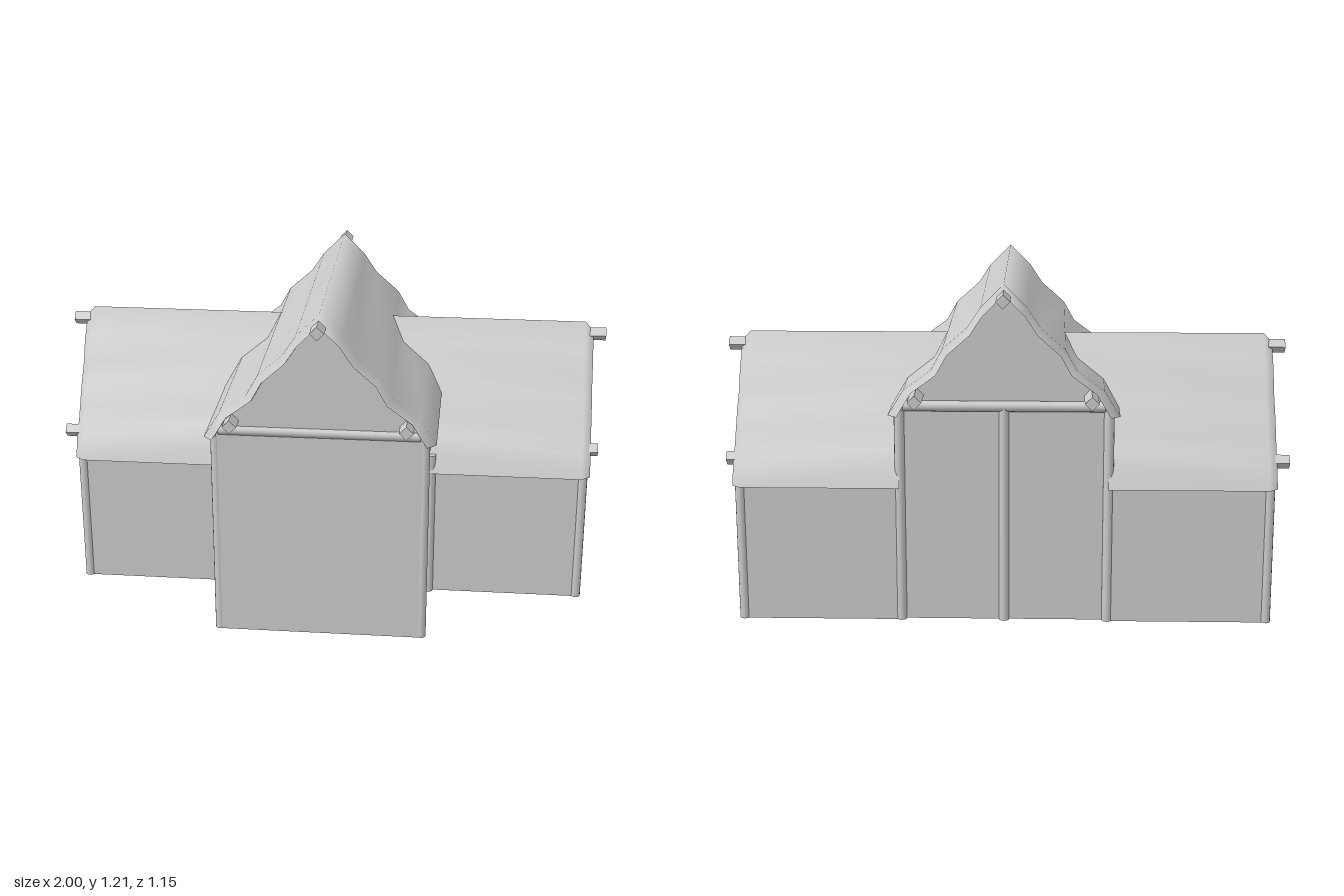
import * as THREE from 'three';

const material = new THREE.MeshStandardMaterial({ color: 0xcccccc });
const thin = new THREE.MeshStandardMaterial({ color: 0xcccccc, side: THREE.DoubleSide });

// half profiles from ridge to eave: [offset, height]
const MAIN = [[0, 1.21], [0.08, 1.13], [0.126, 1.06], [0.212, 0.984], [0.253, 0.91], [0.348, 0.84], [0.403, 0.75]];
const WING = [[0, 0.987], [0.075, 0.9], [0.121, 0.81], [0.172, 0.747], [0.22, 0.67], [0.25, 0.62], [0.292, 0.572], [0.326, 0.492]];

// rim of a roof end, pulled in at the ridge and the eaves
const inset = (p) => p.map(([u, y], i) => [u * 0.92, y - 0.033 * (1 - i / (p.length - 1))]);
// whole profile, from the +x eave over the ridge to the -x eave
const mirror = (p) => [...p.slice().reverse(), ...p.slice(1).map(([u, y]) => [-u, y])];

function mesh(name, geometry, parent, mat = material) {
  const m = new THREE.Mesh(geometry, mat);
  m.name = name;
  parent.add(m);
  return m;
}

// smooth sheet through rows of points; diagonals mirror at the ridge
function sheet(name, rows, parent) {
  const n = rows[0].length;
  const index = [];
  for (let r = 0; r < rows.length - 1; r++) {
    for (let i = 0; i < n - 1; i++) {
      const a = r * n + i, b = a + n;
      if (i < (n - 1) / 2) index.push(a, a + 1, b, b, a + 1, b + 1);
      else index.push(a, a + 1, b + 1, a, b + 1, b);
    }
  }
  const g = new THREE.BufferGeometry();
  g.setAttribute('position', new THREE.Float32BufferAttribute(rows.flat(2), 3));
  g.setIndex(index);
  g.computeVertexNormals();
  mesh(name, g, parent, thin);
}

// row of roof points at the end given by height
const row = (p, end) => mirror(p).map(([u, y]) => [u, y, end(y)]);

// gable wall, reaching up to the roof
function gable(name, profile, half, z, parent) {
  const top = mirror(inset(profile)).map(([u, y]) => [Math.max(-half, Math.min(half, u)), y - 0.004]);
  const pts = [[-half, 0], [half, 0], ...top].map(([x, y]) => new THREE.Vector2(x, y));
  mesh(name, new THREE.ShapeGeometry(new THREE.Shape(pts)), parent, thin).position.z = z;
}

// pair of side walls along z, open below
function sideWalls(name, half, h, z0, z1, parent) {
  for (const s of [1, -1]) {
    const g = new THREE.PlaneGeometry(z1 - z0, h).rotateY(s * Math.PI / 2);
    mesh(name, g, parent, thin).position.set(s * half, h / 2, (z0 + z1) / 2);
  }
}

// round upright timber
function post(name, x, z, h, parent) {
  mesh(name, new THREE.CylinderGeometry(0.018, 0.018, h, 12), parent).position.set(x, h / 2, z);
}

// round timber lying across a gable
function tieBeam(name, y, z, length, parent) {
  const g = new THREE.CylinderGeometry(0.019, 0.019, length, 12).rotateZ(Math.PI / 2);
  mesh(name, g, parent).position.set(0, y, z);
}

// square timber set on its corner, running along z
function purlin(name, x, y, z0, z1, parent) {
  const g = new THREE.BoxGeometry(0.035, 0.035, z1 - z0).rotateZ(Math.PI / 4);
  mesh(name, g, parent).position.set(x, y, (z0 + z1) / 2);
}

function mainHall() {
  const hall = new THREE.Group();
  hall.name = 'mainHall';
  gable('hallFrontWall', MAIN, 0.37, 0.504, hall);
  gable('hallBackWall', MAIN, 0.37, -0.45, hall);
  sideWalls('hallSideWall', 0.37, 0.765, -0.45, 0.504, hall);
  sheet('hallRoof', [
    row(inset(MAIN), () => -0.495), row(MAIN, () => -0.465),
    row(MAIN, () => 0.493), row(inset(MAIN), () => 0.523),
  ], hall);
  for (const s of [1, -1]) {
    post('hallFrontPost', s * 0.363, 0.488, 0.76, hall);
    post('hallBackPost', s * 0.365, -0.454, 0.77, hall);
    purlin('hallEavePurlin', s * 0.302, 0.82, -0.575, 0.568, hall);
  }
  post('hallMiddlePost', 0, -0.454, 0.78, hall);
  purlin('hallRidgePurlin', 0, 1.168, -0.575, 0.572, hall);
  tieBeam('hallFrontBeam', 0.782, 0.496, 0.7, hall);
  tieBeam('hallBackBeam', 0.782, -0.455, 0.7, hall);
  return hall;
}

// wing built along local +z, then turned to the side
function wing(side) {
  const g = new THREE.Group();
  g.name = side > 0 ? 'leftWing' : 'rightWing';
  // the inner end follows the slope of the hall roof
  const innerEnd = (y) => (y < 0.75 ? 0.365 : 0.365 - (y - 0.75) * 0.72);
  gable('wingEndWall', WING, 0.302, 0.942, g);
  sideWalls('wingSideWall', 0.302, 0.51, 0.37, 0.942, g);
  sheet('wingRoof', [
    row(WING, innerEnd), row(WING, () => 0.924), row(inset(WING), () => 0.954),
  ], g);
  const end = side > 0 ? 0.98 : 0.998;
  for (const s of [1, -1]) {
    post('wingCornerPost', s * 0.292, 0.928, 0.51, g);
    purlin('wingEavePurlin', s * 0.242, 0.577, 0.34, end, g);
  }
  post('wingInnerPost', -side * 0.304, 0.374, 0.56, g);
  purlin('wingRidgePurlin', 0, 0.941, 0.26, 1, g);
  tieBeam('wingBeam', 0.543, 0.936, 0.54, g);
  g.rotation.y = side * Math.PI / 2;
  g.position.z = -0.162;
  return g;
}

export function createModel() {
  const model = new THREE.Group();
  model.name = 'house';
  model.add(mainHall(), wing(1), wing(-1));
  return model;
}
